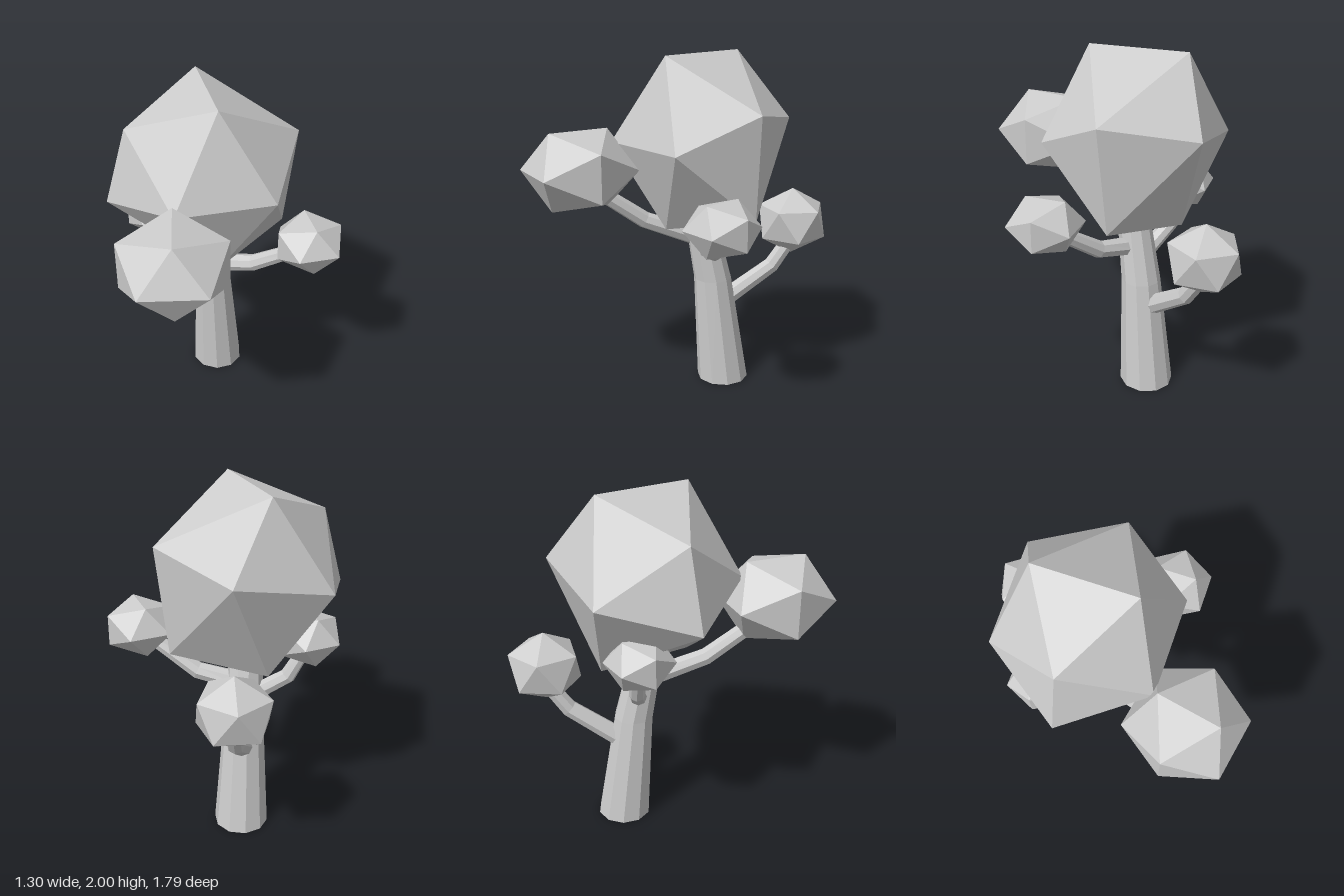
import * as THREE from 'three';
import { ConvexGeometry } from 'three/addons/geometries/ConvexGeometry.js';

const material = new THREE.MeshStandardMaterial({ color: 0xcccccc, flatShading: true });

// Icosahedron points with poles on z: 0 front pole, 1-5 front ring, 6 back pole, 7-11 back ring
function icoPoints() {
  const points = [];
  for (const side of [1, -1]) {
    points.push(new THREE.Vector3(0, 0, side));
    for (let i = 0; i < 5; i++) {
      const a = THREE.MathUtils.degToRad(i * 72 + (side > 0 ? 0 : 36));
      points.push(new THREE.Vector3(Math.cos(a) * 0.8944, Math.sin(a) * 0.8944, side * 0.4472));
    }
  }
  return points;
}

// Faceted clump of leaves; moved = { pointIndex: [x, y, z] } pulls single corners
function foliage(name, center, radius, heightScale, pitch, yaw, moved = {}) {
  const rad = THREE.MathUtils.degToRad;
  const turn = new THREE.Euler(rad(pitch), rad(yaw), 0, 'YXZ');
  const size = new THREE.Vector3(radius, radius * heightScale, radius);
  const offset = new THREE.Vector3(...center);
  const points = icoPoints().map((p, i) =>
    moved[i] ? new THREE.Vector3(...moved[i]) : p.applyEuler(turn).multiply(size).add(offset));
  const mesh = new THREE.Mesh(new ConvexGeometry(points), material);
  mesh.name = name;
  return mesh;
}

// Bent, tapering limb: a cylinder whose rings are moved onto the path
function limb(name, sides, path, radii, levelRings = false) {
  const pts = path.map((p) => new THREE.Vector3(...p));
  const last = pts.length - 1;
  const up = new THREE.Vector3(0, 1, 0);
  const turns = pts.map((p, i) => {
    const before = p.clone().sub(pts[Math.max(i - 1, 0)]).normalize();
    const after = pts[Math.min(i + 1, last)].clone().sub(p).normalize();
    const dir = levelRings ? up : before.add(after).normalize();
    return new THREE.Quaternion().setFromUnitVectors(up, dir);
  });
  const geometry = new THREE.CylinderGeometry(1, 1, 1, sides, last, false, Math.PI / 2);
  const pos = geometry.attributes.position;
  const v = new THREE.Vector3();
  for (let k = 0; k < pos.count; k++) {
    v.fromBufferAttribute(pos, k);
    const i = Math.round((v.y + 0.5) * last);
    v.setY(0).multiplyScalar(radii[i]).applyQuaternion(turns[i]).add(pts[i]);
    pos.setXYZ(k, v.x, v.y, v.z);
  }
  geometry.computeVertexNormals();
  const mesh = new THREE.Mesh(geometry, material);
  mesh.name = name;
  return mesh;
}

export function createModel() {
  const tree = new THREE.Group();
  tree.name = 'tree';

  // Trunk leaning forward
  tree.add(limb('trunk', 10,
    [[-0.14, 0, -0.27], [-0.14, 0.66, -0.2], [-0.14, 1.1, -0.11]], [0.155, 0.113, 0.09], true));

  // Branches, each bent upward once
  tree.add(
    limb('frontBranch', 8, [[-0.16, 0.92, -0.1], [-0.15, 1.04, 0.21], [-0.12, 1.22, 0.46]], [0.056, 0.05, 0.045]),
    limb('leftBranch', 8, [[-0.11, 0.86, -0.15], [0.13, 0.91, -0.15], [0.42, 1.1, -0.12]], [0.056, 0.05, 0.04]),
    limb('rightBranch', 8, [[-0.16, 0.78, -0.17], [-0.38, 0.93, -0.17], [-0.48, 1.12, -0.16]], [0.05, 0.045, 0.035]),
    limb('backBranch', 8, [[-0.15, 0.49, -0.25], [-0.15, 0.71, -0.57], [-0.155, 0.88, -0.69]], [0.058, 0.05, 0.045]),
  );

  // Large crown with a few corners pulled out of the regular shape
  tree.add(foliage('crown', [-0.145, 1.51, -0.13], 0.525, 1.095, 0, 0, {
    4: [-0.63, 1.38, 0.17],
    6: [-0.14, 1.62, -0.645],
    7: [0.31, 1.71, -0.36],
    11: [0.24, 1.11, -0.36],
  }));

  // Small clumps at the branch ends
  tree.add(
    foliage('frontFoliage', [-0.08, 1.37, 0.58], 0.335, 0.78, 0, 169),
    foliage('leftFoliage', [0.46, 1.153, -0.12], 0.215, 0.78, 0, 0),
    foliage('rightFoliage', [-0.48, 1.17, -0.15], 0.192, 0.83, 0, 0),
    foliage('backFoliage', [-0.155, 0.987, -0.69], 0.223, 0.91, -90, 32),
  );
  return tree;
}
